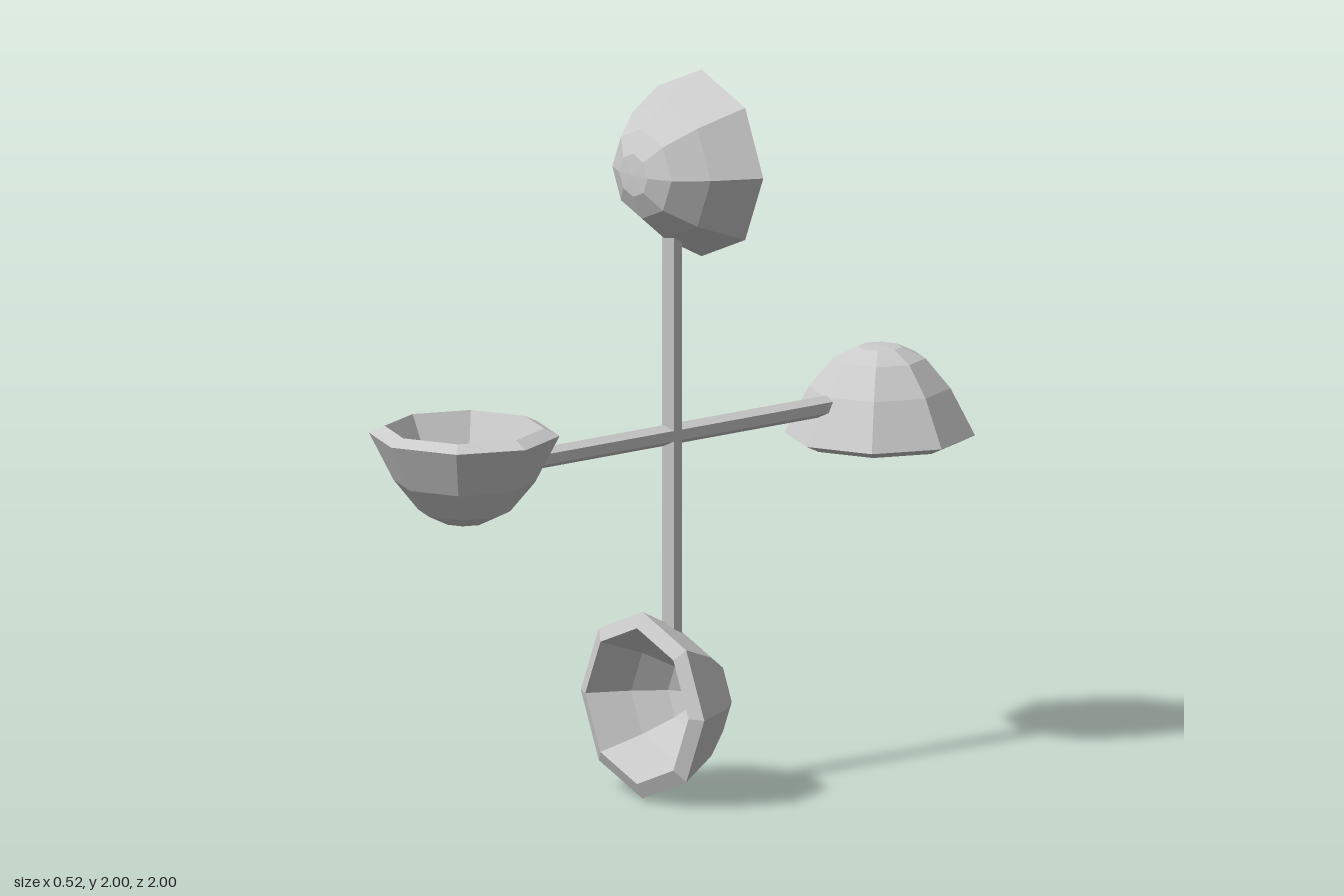
import * as THREE from 'three';

const material = new THREE.MeshStandardMaterial({ color: 0xcccccc, flatShading: true });

// Closed wall profile of a cup: inside from the pole to the rim, then outside back to the pole
const CUP_PROFILE = [
  [0, 0.1], [0.05, 0.1], [0.1, 0.07], [0.16, -0.01], [0.217, -0.125],
  [0.26, -0.105], [0.193, 0.025], [0.125, 0.107], [0.06, 0.138], [0, 0.142],
].map(([r, y]) => new THREE.Vector2(r, y));

const ARM_LENGTH = 0.56;
const CUP_DISTANCE = 0.74;

export function createModel() {
  const model = new THREE.Group();
  model.name = 'cupRotor';

  const cupGeometry = new THREE.LatheGeometry(CUP_PROFILE, 8);
  cupGeometry.rotateX(Math.PI / 2); // pole points to +z
  const rodGeometry = new THREE.CylinderGeometry(0.029, 0.029, ARM_LENGTH * 2, 6);

  // Two hexagonal rods crossing at the centre
  for (let i = 0; i < 2; i++) {
    const rod = new THREE.Mesh(rodGeometry, material);
    rod.name = i === 0 ? 'uprightRod' : 'levelRod';
    rod.position.y = 1;
    rod.rotation.x = i * Math.PI / 2;
    model.add(rod);
  }

  // Four hollow cups, all facing the same way round the x axis
  ['topCup', 'frontCup', 'bottomCup', 'backCup'].forEach((name, i) => {
    const angle = i * Math.PI / 2;
    const cup = new THREE.Mesh(cupGeometry, material);
    cup.name = name;
    cup.rotation.x = angle;
    cup.position.set(0, 1 + CUP_DISTANCE * Math.cos(angle), CUP_DISTANCE * Math.sin(angle));
    model.add(cup);
  });

  return model;
}
